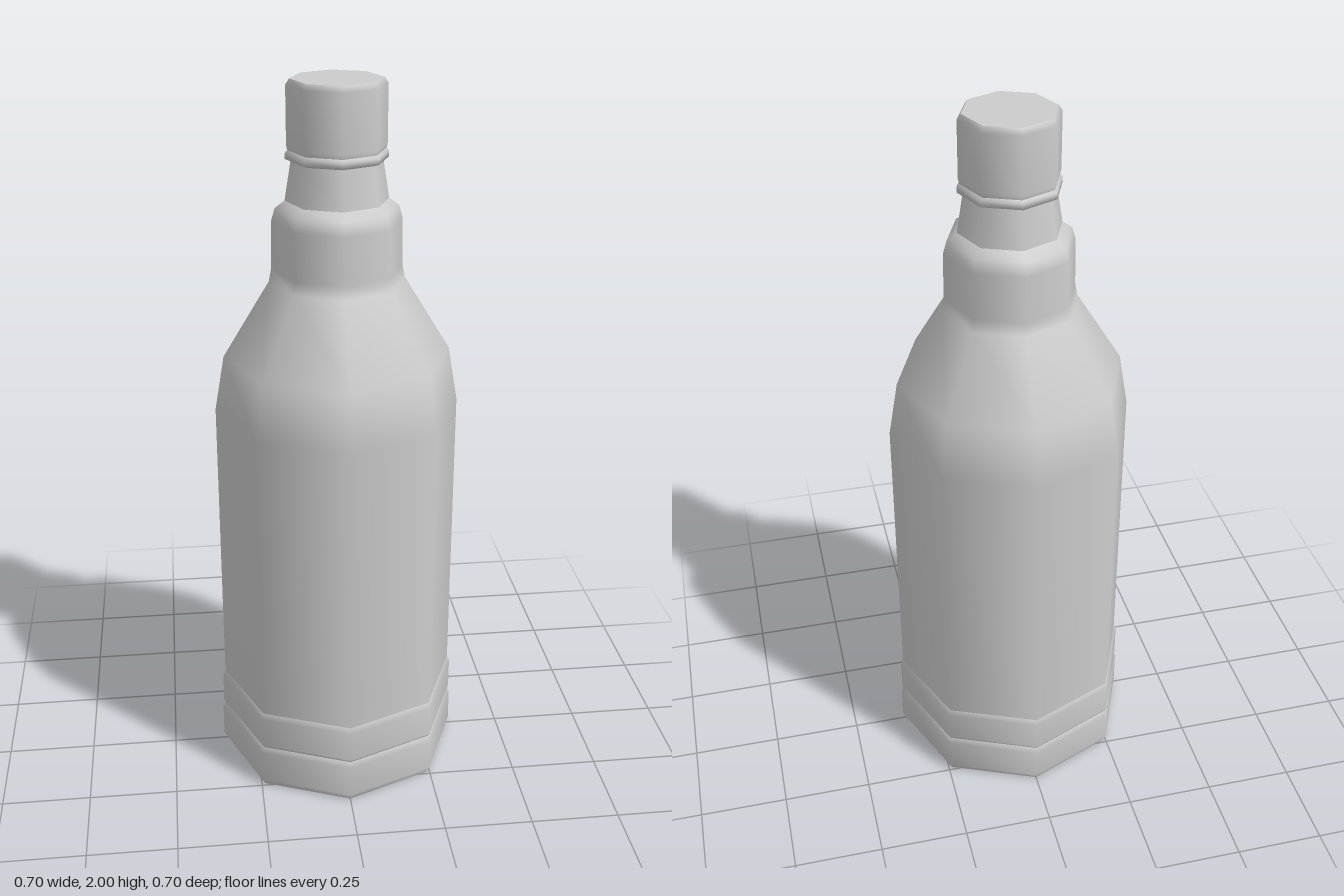
import * as THREE from 'three';

const SIDES = 8;

export function createModel() {
  const bottle = new THREE.Group();
  bottle.name = 'bottle';
  const material = new THREE.MeshStandardMaterial({ color: 0xcccccc });

  // Revolves a [radius, height] profile, listed from bottom to top, into an octagonal part
  function turned(name, profile) {
    const points = profile.map(([r, y]) => new THREE.Vector2(r, y));
    const mesh = new THREE.Mesh(new THREE.LatheGeometry(points, SIDES), material);
    mesh.name = name;
    bottle.add(mesh);
  }

  // Flat bottom and the two raised bands around the foot
  turned('underside', [[0, 0], [0.34, 0]]);
  turned('foot', [[0.34, 0], [0.35, 0.02], [0.35, 0.115], [0.342, 0.13]]);
  turned('lowerBand', [[0.342, 0.13], [0.347, 0.14], [0.347, 0.23], [0.34, 0.245]]);

  // Straight body running into the sloping shoulder and the collar
  turned('body', [
    [0.34, 0.245], [0.34, 1.1], [0.313, 1.255], [0.185, 1.465],
    [0.178, 1.5], [0.176, 1.63], [0.166, 1.665], [0.139, 1.685],
  ]);

  // Tapered neck
  turned('neck', [[0.139, 1.685], [0.122, 1.79]]);

  // Sealing ring below the cap
  turned('neckRing', [[0.122, 1.79], [0.137, 1.795], [0.137, 1.81], [0.13, 1.818]]);

  // Cap with a small bevel at the top
  turned('cap', [[0.13, 1.818], [0.133, 1.83], [0.133, 1.985], [0.123, 2]]);
  turned('capTop', [[0.123, 2], [0, 2]]);

  return bottle;
}
